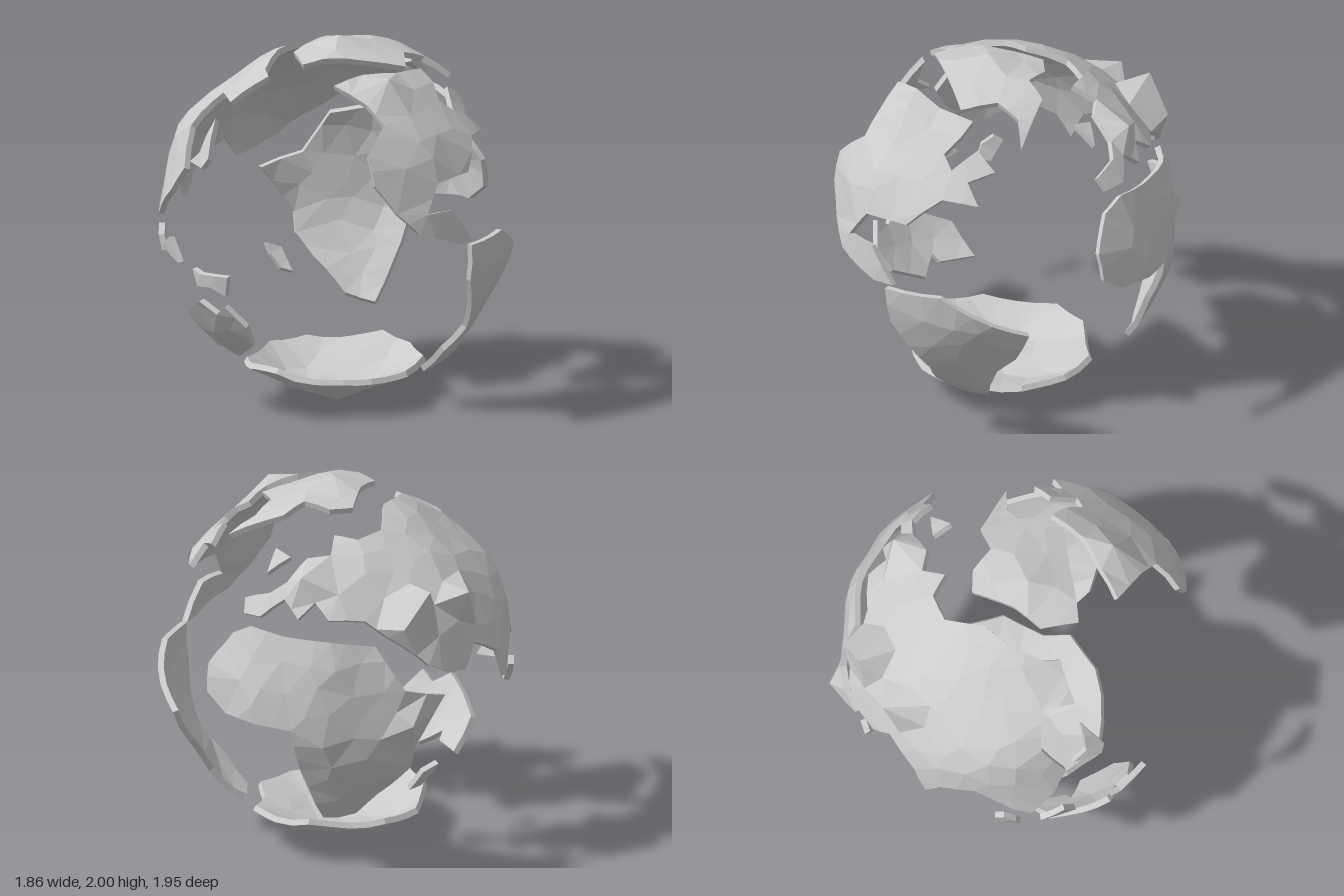
import * as THREE from 'three';

const R = 0.935, THICK = 0.032, STEP = 0.17;
const material = new THREE.MeshStandardMaterial({ color: 0xcccccc, flatShading: true });

// Coastlines as [azimuth, latitude] in degrees (azimuth 0 = front, 90 = +x),
// peaks as [azimuth, latitude, radius], swells as [azimuth, latitude, height, width in degrees]
const plates = {
  northAmerica: {
    coast: [[-28, 57], [-10, 61.5], [16, 61], [41, 60], [37, 54], [31, 47.5], [36.5, 43], [47, 50.5], [56, 44],
      [44.5, 40], [50, 32.5], [36, 33], [24.5, 22.5], [8.6, 21], [3, 12], [13, 12], [22, 1], [15, 1], [0, 6],
      [-7, 13], [-14, 22], [-16, 31], [-8, 40.5], [-13, 48]],
    peaks: [[2, 56, 1.04]],
    swells: [[-12, 36, 0.085, 62]]
  },
  southAmerica: {
    coast: [[20, 0], [39, 1], [50, -5], [68, -13.5], [64, -27], [57, -35], [54, -43], [51, -58], [37, -57],
      [29, -43], [31, -32], [26, -22], [21, -12]],
    swells: [[20, -10, 0.035, 48]]
  },
  africa: {
    coast: [[93, 12], [95, 16], [100, 24], [108, 27.5], [122, 26], [139, 25], [155, 23.5], [164, 8], [179, 4],
      [167, -12], [167, -19], [161, -28], [149, -40], [135, -43], [128, -22], [126, -5], [107.5, -3],
      [102, -3], [94, 2.5]],
    peaks: [[165, -3, 1.0]]
  },
  eurasia: {
    coast: [[278, 62], [274, 47], [258, 49], [255, 34], [263, 21], [258, 12], [250, 2], [244, 4], [231, 12.5],
      [219, 8], [214, 0], [209, 10.5], [196, 17.5], [189, 10], [182, 11], [173, 15], [160, 26], [152, 32],
      [138, 32], [132, 38], [126, 32], [119, 38], [111, 31], [103, 31], [101, 36], [112, 39], [118, 44],
      [121, 50], [124, 54], [137, 56], [138, 65], [155, 62], [176, 64.5], [207, 74], [236, 71], [267, 64]],
    peaks: [[175, 36, 1.09], [164, 27, 1.03], [192.5, 33, 1.06], [126, 44, 1.02]]
  },
  australia: {
    coast: [[290, -22], [285, -25.5], [279, -21], [270, -25.5], [258, -31], [251, -44], [268, -43.5],
      [270, -40], [279, -47], [294.5, -39.5], [296.5, -30]]
  },
  arcticIsland: {
    coast: [[-54, 67], [-84, 74], [243, 83], [160, 76], [130, 75], [95, 75], [93, 66.5], [69, 51], [70, 61],
      [56, 68], [30, 63]],
    peaks: [[-16, 86, 1.0]],
    swells: [[60, 84, 0.045, 60]]
  },
  antarctica: {
    coast: [[-83, -56], [-62, -54], [-40, -59], [-22, -60], [-3, -60], [26, -59.5], [43, -64], [72, -59],
      [101, -57], [124, -55], [150, -60], [172, -58], [200, -58], [228, -61], [250, -58]],
    peaks: [[20, -89, 1.0]]
  },
  northwestIsland: { coast: [[115, 53], [107, 45.6], [104, 55]] },
  easternIsland: { coast: [[273, 40], [279, 27], [277, 23.5], [266, 24], [272, 28]] },
  equatorIsland: { coast: [[294, -10.5], [282, -11], [278, -10], [280, -15.5], [286, -15], [292, -17.5]] },
  smallIslandA: { coast: [[261, -3], [253, -8], [265.6, -11]] },
  smallIslandB: { coast: [[241, -3], [238, -5], [242, -12], [246.5, -11], [245, -6]] },
  southeastIsland: { coast: [[179, -21.4], [173, -23.5], [170.5, -32.5], [175, -31], [178, -25.5]] }
};

function direction([azimuth, latitude]) {
  const a = THREE.MathUtils.degToRad(azimuth), l = THREE.MathUtils.degToRad(latitude);
  return new THREE.Vector3(Math.sin(a) * Math.cos(l), Math.sin(l), Math.cos(a) * Math.cos(l));
}

// Equal-area map of the sphere around a centre direction
function makeMap(centre) {
  const helper = Math.abs(centre.y) > 0.9 ? new THREE.Vector3(0, 0, 1) : new THREE.Vector3(0, 1, 0);
  const u = helper.cross(centre).normalize();
  const v = new THREE.Vector3().crossVectors(centre, u);
  return {
    flatten(d) {
      const k = Math.sqrt(2 / (1 + d.dot(centre)));
      return new THREE.Vector2(k * d.dot(u), k * d.dot(v));
    },
    wrap(p) {
      const q = p.lengthSq(), k = Math.sqrt(Math.max(0, 1 - q / 4));
      return new THREE.Vector3().addScaledVector(u, k * p.x).addScaledVector(v, k * p.y)
        .addScaledVector(centre, 1 - q / 2).normalize();
    }
  };
}

function inside(p, polygon) {
  let hit = false;
  polygon.forEach((a, i) => {
    const b = polygon[(i + 1) % polygon.length];
    if ((a.y > p.y) !== (b.y > p.y) && p.x < a.x + (b.x - a.x) * (p.y - a.y) / (b.y - a.y)) hit = !hit;
  });
  return hit;
}

// Incremental Delaunay triangulation, counter-clockwise triangles
function delaunay(points) {
  const n = points.length;
  const p = [...points, new THREE.Vector2(-50, -40), new THREE.Vector2(50, -41), new THREE.Vector2(1, 60)];
  const circle = (a, b, c) => {
    const A = p[a], B = p[b].clone().sub(A), C = p[c].clone().sub(A), d = 2 * B.cross(C);
    const x = (C.y * B.lengthSq() - B.y * C.lengthSq()) / d, y = (B.x * C.lengthSq() - C.x * B.lengthSq()) / d;
    return { v: [a, b, c], x: A.x + x, y: A.y + y, r: x * x + y * y };
  };
  let tris = [circle(n, n + 1, n + 2)];
  for (let i = 0; i < n; i++) {
    const bad = tris.filter(t => (p[i].x - t.x) ** 2 + (p[i].y - t.y) ** 2 < t.r);
    tris = tris.filter(t => !bad.includes(t));
    for (const [a, b] of rim(bad.map(t => t.v))) tris.push(circle(a, b, i));
  }
  return tris.map(t => t.v).filter(t => t.every(i => i < n));
}

// Directed edges that belong to one triangle only
function rim(tris) {
  const edges = new Map();
  for (const t of tris) t.forEach((a, i) => {
    const b = t[(i + 1) % 3];
    if (!edges.delete(b + '_' + a)) edges.set(a + '_' + b, [a, b]);
  });
  return [...edges.values()];
}

// Gentle uneven relief of the land, plus the broad swells of a plate
function relief(d, swells) {
  let h = 0.009 * (Math.sin(9 * d.x + 4 * d.y) + Math.sin(11 * d.y - 5 * d.z) + Math.sin(13 * d.z + 7 * d.x));
  for (const [azimuth, latitude, height, width] of swells) {
    const angle = THREE.MathUtils.radToDeg(d.angleTo(direction([azimuth, latitude])));
    h += height * Math.cos(Math.min(1, angle / width) * Math.PI / 2) ** 2;
  }
  return h;
}

function makePlate(name, { coast, peaks = [], swells = [] }) {
  const dirs = coast.map(direction);
  const centre = dirs.reduce((s, d) => s.add(d), new THREE.Vector3()).normalize();
  const map = makeMap(centre);
  const outline = dirs.map(map.flatten);

  // Coast points, mountain peaks, then an uneven triangular grid inside
  const points = [];
  outline.forEach((a, i) => {
    const b = outline[(i + 1) % outline.length], n = Math.ceil(a.distanceTo(b) / 0.13);
    for (let k = 0; k < n; k++) points.push(a.clone().lerp(b, k / n));
  });
  const heights = new Map();
  for (const peak of peaks) {
    heights.set(points.length, peak[2]);
    points.push(map.flatten(direction(peak)));
  }
  for (let j = -12; j <= 12; j++) for (let i = -12; i <= 12; i++) {
    const q = new THREE.Vector2(
      (i + (j & 1) / 2) * STEP + 0.03 * Math.sin(i * 5.1 + j * 3.7),
      j * STEP * 0.87 + 0.03 * Math.sin(i * 2.3 + j * 7.9));
    if (q.length() < 1.9 && inside(q, outline) && points.every(p => p.distanceTo(q) > 0.085)) points.push(q);
  }

  const tris = delaunay(points).filter(([a, b, c]) =>
    inside(points[a].clone().add(points[b]).add(points[c]).divideScalar(3), outline));

  // Outer skin, inner skin and the walls along the coast
  const outer = [], inner = [];
  points.forEach((p, i) => {
    const d = map.wrap(p), r = R + relief(d, swells);
    outer.push(d.clone().multiplyScalar(heights.get(i) ?? r));
    inner.push(d.multiplyScalar(r - THICK));
  });
  const corners = [];
  for (const [a, b, c] of tris) corners.push(outer[a], outer[b], outer[c], inner[a], inner[c], inner[b]);
  for (const [a, b] of rim(tris)) corners.push(outer[a], inner[a], inner[b], outer[a], inner[b], outer[b]);

  const geometry = new THREE.BufferGeometry().setFromPoints(corners);
  geometry.computeVertexNormals();
  const mesh = new THREE.Mesh(geometry, material);
  mesh.name = name;
  mesh.position.y = 1;
  return mesh;
}

export function createModel() {
  const group = new THREE.Group();
  group.name = 'hollowGlobe';
  for (const [name, plate] of Object.entries(plates)) group.add(makePlate(name, plate));
  return group;
}
